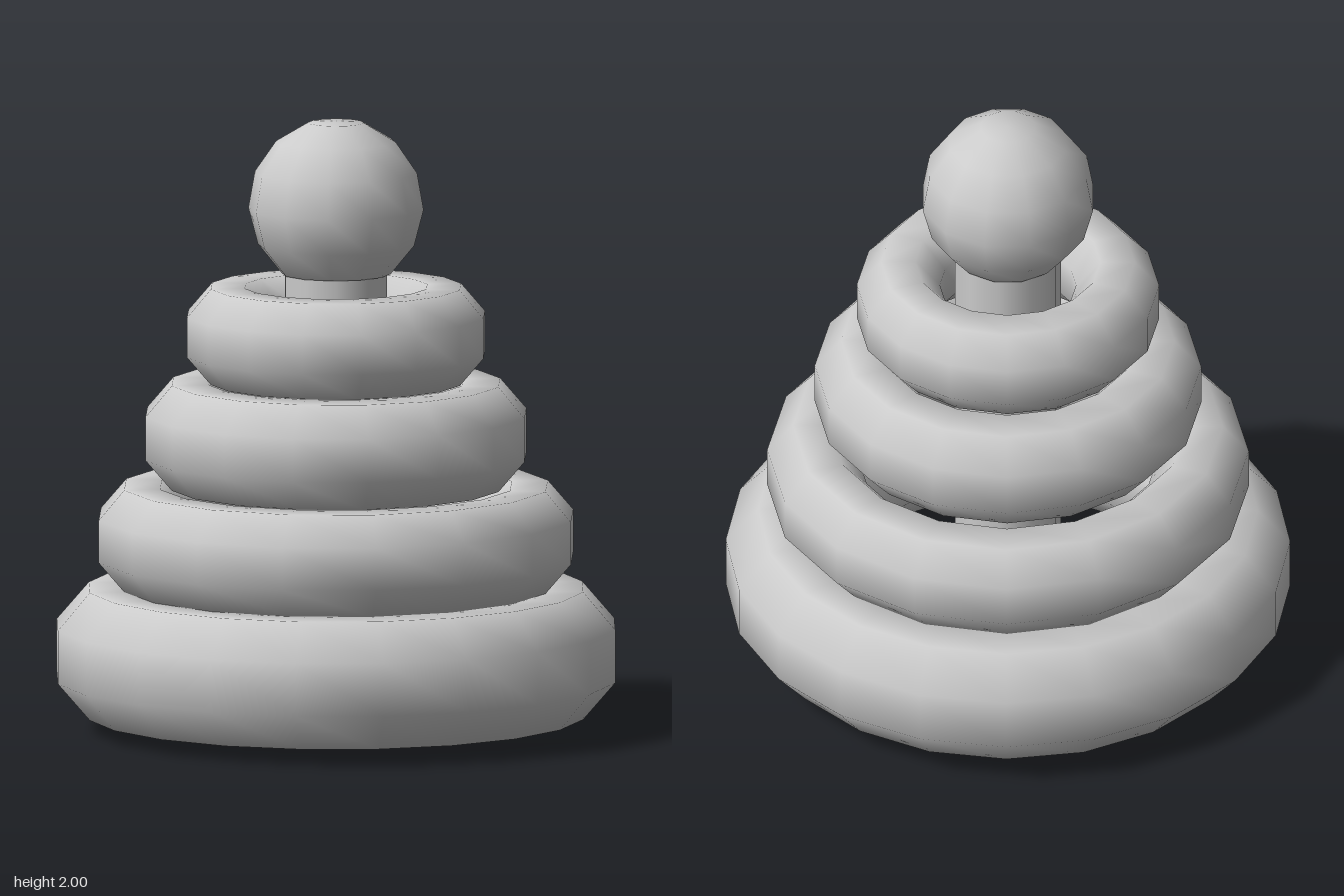
import * as THREE from 'three';
import { mergeVertices } from 'three/addons/utils/BufferGeometryUtils.js';

const material = new THREE.MeshStandardMaterial({ color: 0xcccccc });

// Revolves a profile and welds it so the shading is smooth all round
function smoothLathe(points, segments, phase = 0) {
  const lathe = new THREE.LatheGeometry(points, segments, phase);
  lathe.deleteAttribute('uv');
  lathe.deleteAttribute('normal');
  const geometry = mergeVertices(lathe, 1e-4);
  geometry.computeVertexNormals();
  return geometry;
}

// Chunky ring with an eight-sided tube, a little taller than wide
function ringGeometry(outer, bottom, top, segments, phase) {
  const halfHeight = (top - bottom) / 2;
  const halfWidth = halfHeight * 0.86;
  const scale = 1 / Math.cos(Math.PI / 8);
  const points = [];
  for (let i = 0; i <= 8; i++) {
    const a = Math.PI + (i + 0.5) * Math.PI / 4;
    points.push(new THREE.Vector2(
      outer - halfWidth + halfWidth * scale * Math.cos(a),
      (top + bottom) / 2 + halfHeight * scale * Math.sin(a)
    ));
  }
  return smoothLathe(points, segments, phase);
}

export function createModel() {
  const model = new THREE.Group();
  const add = (name, geometry, y = 0) => {
    const mesh = new THREE.Mesh(geometry, material);
    mesh.name = name;
    mesh.position.y = y;
    model.add(mesh);
  };

  // Central pole
  add('pole', new THREE.CylinderGeometry(0.174, 0.174, 1.54, 10), 0.77);

  // Stacked rings, largest first: outer radius, bottom, top, segments, phase
  const rings = [
    [0.92, 0.05, 0.47, 20, Math.PI / 20],
    [0.785, 0.47, 0.805, 16, 0],
    [0.63, 0.80, 1.145, 16, 0],
    [0.493, 1.145, 1.46, 16, 0],
  ];
  rings.forEach((r, i) => add('ring' + (i + 1), ringGeometry(...r)));

  // Ball on top, cut flat where it meets the pole
  const ballRadius = 0.287;
  const start = -0.9;
  const end = 1.25;
  const profile = [];
  for (let i = 0; i <= 5; i++) {
    const a = start + (end - start) * i / 5;
    profile.push(new THREE.Vector2(ballRadius * Math.cos(a), ballRadius * Math.sin(a)));
  }
  profile.push(new THREE.Vector2(0, 0.273));
  add('ball', smoothLathe(profile, 12), 1.727);

  return model;
}
